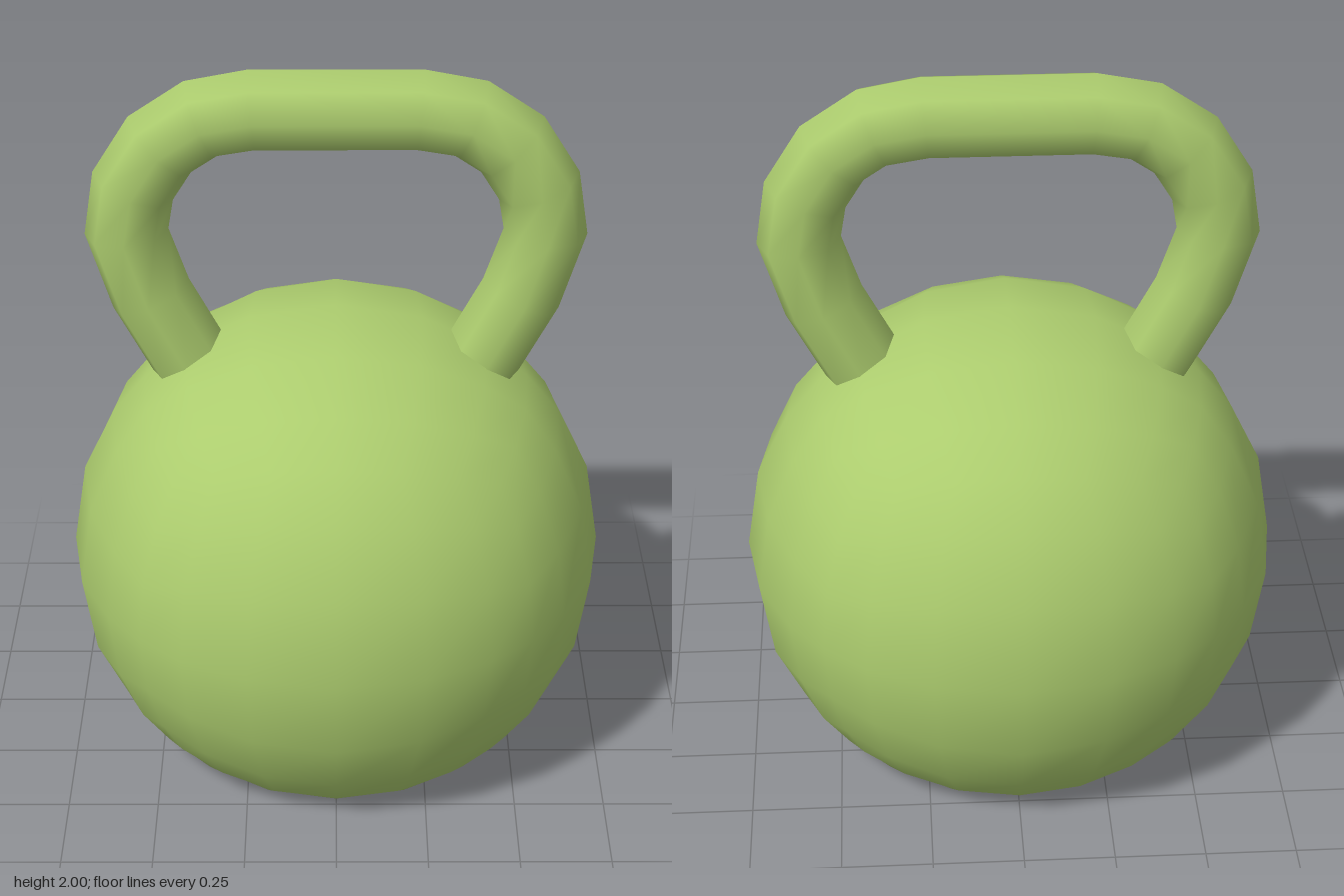
import * as THREE from 'three';
import { mergeVertices } from 'three/addons/utils/BufferGeometryUtils.js';

const RADIUS = 0.747, CENTER_Y = 0.572, GRIP = 0.113;

// Puts a point of the cube on the ball
const onBall = (p) => {
  const q = p.clone().setLength(RADIUS);
  q.y += CENTER_Y;
  return q;
};

// Ball made from an inflated cube, cut flat where it meets the floor
function ballGeometry() {
  let geometry = new THREE.BoxGeometry(2, 2, 2, 6, 6, 6);
  geometry.deleteAttribute('uv');
  geometry.deleteAttribute('normal');
  geometry = mergeVertices(geometry, 1e-3);
  const pos = geometry.attributes.position;
  const p = new THREE.Vector3();
  for (let i = 0; i < pos.count; i++) {
    p.fromBufferAttribute(pos, i);
    const v = onBall(p);
    if (v.y < 0) {
      // Slide the rim of the base out to the floor line, flatten the rest
      const ring = Math.max(Math.abs(p.x), Math.abs(p.z));
      const outward = (c) => (Math.abs(c) > ring - 0.01 ? c + Math.sign(c) / 3 : c);
      const next = onBall(new THREE.Vector3(outward(p.x), p.y, outward(p.z)));
      if (next.y > 0) v.lerp(next, -v.y / (next.y - v.y));
      v.y = 0;
    }
    pos.setXYZ(i, v.x, v.y, v.z);
  }
  geometry.computeVertexNormals();
  return geometry;
}

// Path whose rings fall exactly on the given points, mitred at each bend
class RingPath extends THREE.Curve {
  constructor(points) {
    super();
    this.points = points;
  }
  getPointAt(u, target = new THREE.Vector3()) {
    return target.copy(this.points[Math.round(u * (this.points.length - 1))]);
  }
  getTangentAt(u, target = new THREE.Vector3()) {
    const pts = this.points, i = Math.round(u * (pts.length - 1));
    target.set(0, 0, 0);
    if (i > 0) target.add(pts[i].clone().sub(pts[i - 1]).normalize());
    if (i < pts.length - 1) target.add(pts[i + 1].clone().sub(pts[i]).normalize());
    return target.normalize();
  }
}

export function createModel() {
  const model = new THREE.Group();
  model.name = 'kettlebell';
  const material = new THREE.MeshStandardMaterial({ color: 0xaccc6e });

  const ball = new THREE.Mesh(ballGeometry(), material);
  ball.name = 'ball';

  // Handle centreline: one side from inside the ball up to the grip, then mirrored
  const half = [
    [0.32, 1.0], [0.4, 1.16], [0.503, 1.355], [0.562, 1.54],
    [0.54, 1.672], [0.465, 1.79], [0.355, 1.863], [0.22, 1.887],
  ];
  const points = [
    ...half.map(([x, y]) => new THREE.Vector3(-x, y, 0)),
    ...half.slice().reverse().map(([x, y]) => new THREE.Vector3(x, y, 0)),
  ];
  const handle = new THREE.Mesh(
    new THREE.TubeGeometry(new RingPath(points), points.length - 1, GRIP, 8), material);
  handle.name = 'handle';

  model.add(ball, handle);
  return model;
}
